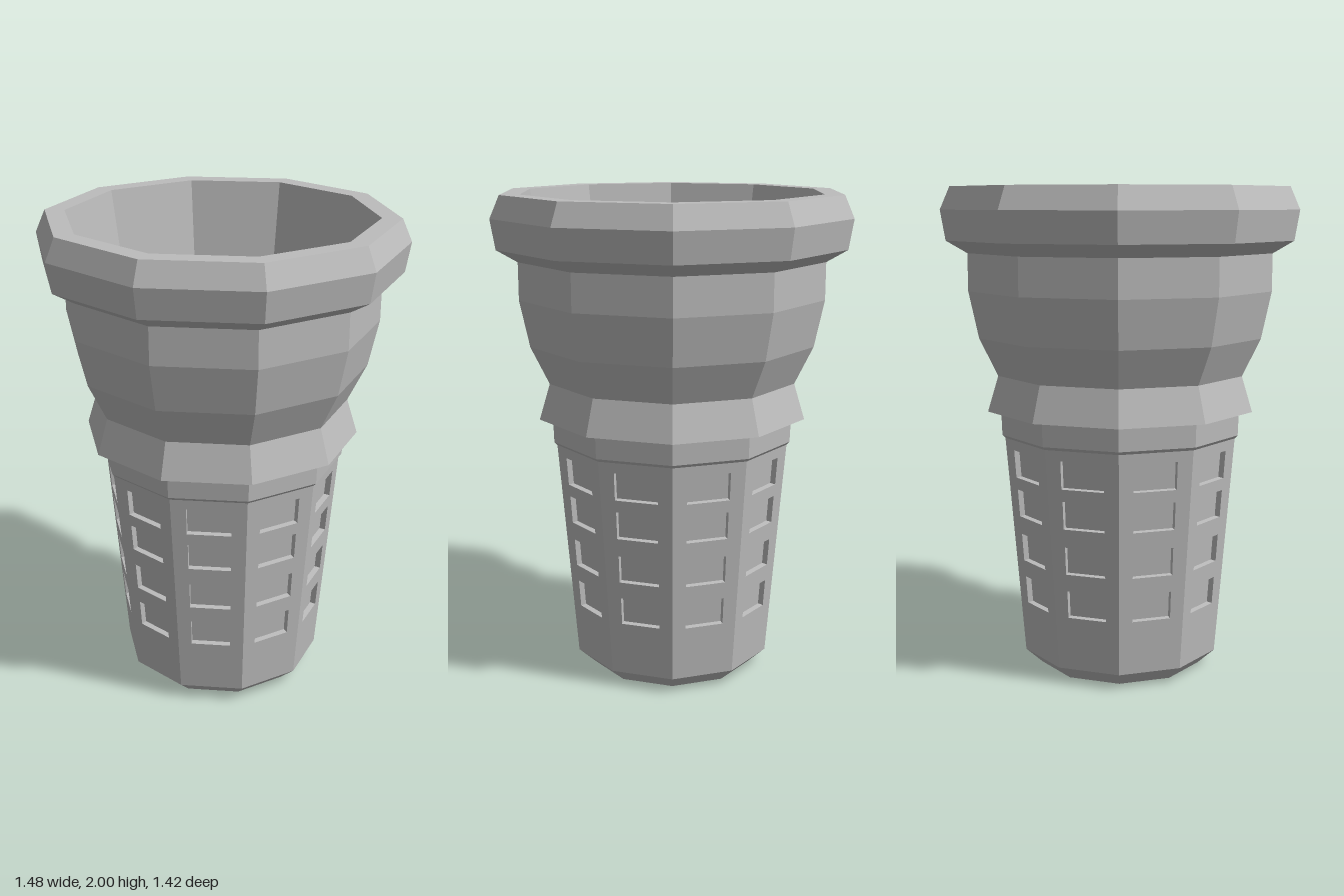
import * as THREE from 'three';

const SIDES = 10;
const STEP = (Math.PI * 2) / SIDES;
const TWIST = THREE.MathUtils.degToRad(2); // slight turn of the ten-sided plan

const grey = new THREE.MeshStandardMaterial({ color: 0xbcbcbc });
grey.name = 'wafer grey';

// Faceted mesh: every triangle keeps its own normal
function faceted(name, geometry) {
  const flat = geometry.index ? geometry.toNonIndexed() : geometry;
  flat.computeVertexNormals();
  const mesh = new THREE.Mesh(flat, grey);
  mesh.name = name;
  return mesh;
}

// Ten-sided ring from [radius, height] pairs, corners aligned to the plan
function ring(name, profile) {
  const points = profile.map(([r, y]) => new THREE.Vector2(r, y));
  return faceted(name, new THREE.LatheGeometry(points, SIDES, TWIST + STEP / 2));
}

export function createModel() {
  const cup = new THREE.Group();
  cup.name = 'waferCup';

  cup.add(ring('base', [[0, 0], [0.35, 0], [0.42, 0.065]]));
  cup.add(ring('collar', [[0.493, 0.985], [0.507, 1.0], [0.51, 1.09]]));
  cup.add(ring('flare', [[0.51, 1.09], [0.565, 1.1], [0.52, 1.245]]));
  cup.add(ring('bowl', [[0.52, 1.245], [0.595, 1.4], [0.635, 1.59], [0.635, 1.74]]));
  cup.add(ring('rim', [[0.635, 1.74], [0.72, 1.79], [0.74, 1.91], [0.7, 2], [0.62, 2]]));
  cup.add(ring('inside', [[0.62, 2], [0.47, 1.1], [0.345, 0.08], [0, 0.08]]));

  // Lower wall: ten tilted panels with four recessed windows each
  const y0 = 0.065, y1 = 0.99, r0 = 0.42, r1 = 0.495, depth = 0.025;
  const apothem = Math.cos(STEP / 2);
  const halfSide = Math.sin(STEP / 2);
  const tilt = Math.atan2((r1 - r0) * apothem, y1 - y0);
  const height = (y1 - y0) / Math.cos(tilt);

  const outline = () => new THREE.Shape([
    new THREE.Vector2(-r0 * halfSide, 0), new THREE.Vector2(r0 * halfSide, 0),
    new THREE.Vector2(r1 * halfSide, height), new THREE.Vector2(-r1 * halfSide, height),
  ]);

  const panelShape = outline();
  for (const [bottom, half] of [[0.29, 0.08], [0.475, 0.083], [0.665, 0.086], [0.83, 0.089]]) {
    const a = (bottom - y0) / Math.cos(tilt);
    const b = a + 0.115;
    panelShape.holes.push(new THREE.Path([
      new THREE.Vector2(-half, a), new THREE.Vector2(-half, b),
      new THREE.Vector2(half, b), new THREE.Vector2(half, a),
    ]));
  }
  const panelGeometry = new THREE.ExtrudeGeometry(panelShape, { depth, bevelEnabled: false });
  panelGeometry.translate(0, 0, -depth);
  const backGeometry = new THREE.ShapeGeometry(outline());
  backGeometry.translate(0, 0, -depth + 0.001);

  for (let i = 0; i < SIDES; i++) {
    const side = new THREE.Group();
    side.name = 'windowedSide';
    side.rotation.y = TWIST + i * STEP;
    const leaning = new THREE.Group();
    leaning.name = 'leaningPanel';
    leaning.position.set(0, y0, r0 * apothem);
    leaning.rotation.x = tilt;
    leaning.add(faceted('wallPanel', panelGeometry), faceted('windowBacks', backGeometry));
    side.add(leaning);
    cup.add(side);
  }
  return cup;
}
